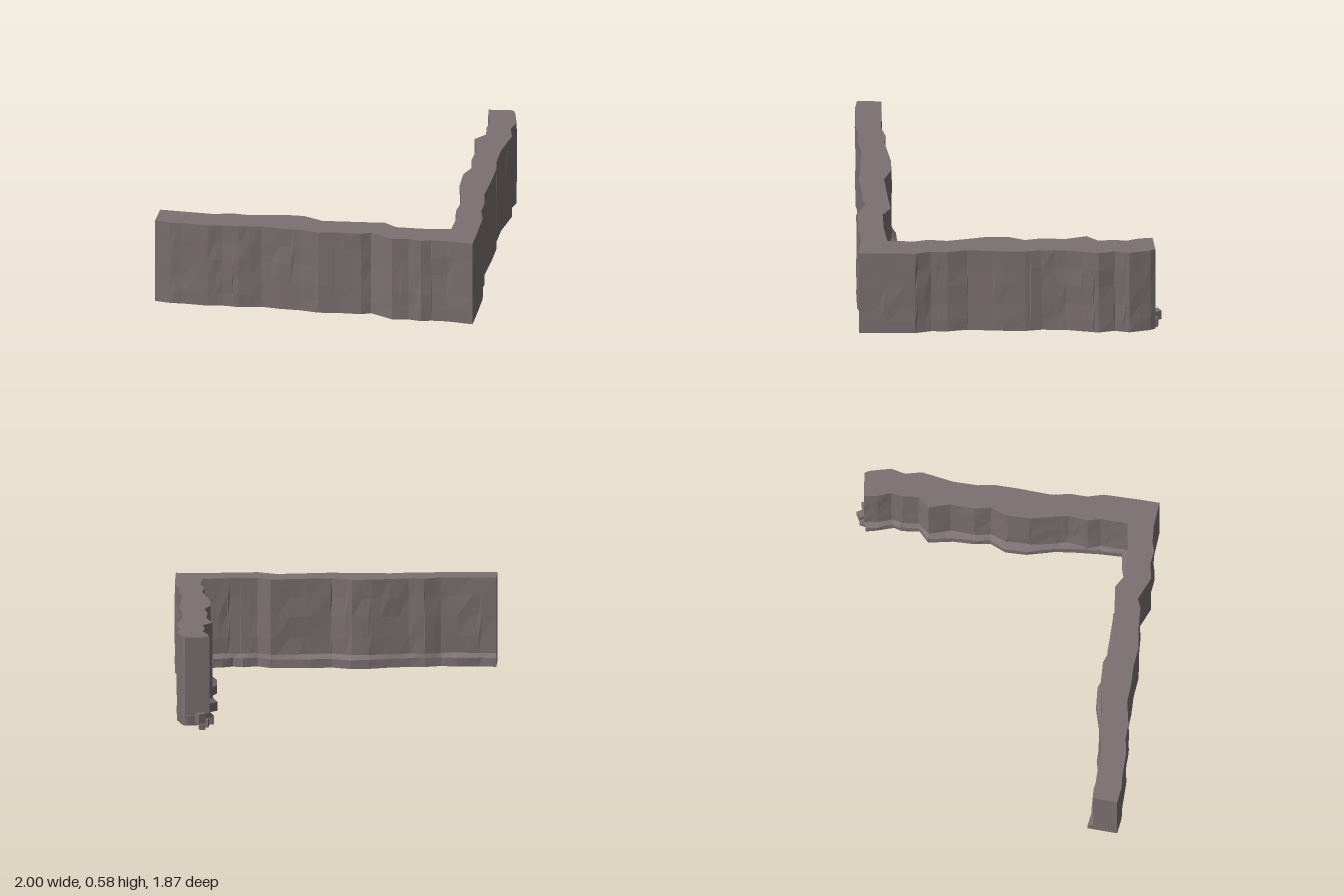
import * as THREE from 'three';

const BOTTOM = 0.025, TOP = 0.58;
const material = new THREE.MeshStandardMaterial({ color: 0x7d7172, flatShading: true });

// Plan outlines [x, z] of the front arm, from its free end to the corner
const frontArm = {
  axis: 0,
  outer: [[-1, .91], [-.9, .925], [-.83, .92], [-.67, .925], [-.58, .91], [-.48, .915], [-.34, .89], [-.22, .9], [-.1, .9],
    [.02, .915], [.14, .9], [.28, .895], [.34, .872], [.48, .935], [.58, .92], [.66, .932], [.72, .915], [.82, .91], [.98, .925]],
  inner: [[-.99, .76], [-.65, .768], [-.55, .742], [-.45, .748], [-.22, .712], [-.1, .71], [.02, .757], [.28, .735],
    [.4, .722], [.48, .772], [.66, .767], [.82, .747]],
  foot: [[-.99, .725], [-.88, .74], [-.75, .735], [-.65, .753], [-.55, .727], [-.46, .73], [-.34, .715], [-.21, .68],
    [-.09, .675], [.02, .72], [.15, .705], [.4, .71], [.48, .76], [.57, .735], [.63, .757], [.7, .73], [.8, .715]],
};
// The side arm, from the corner to its broken end
const sideArm = {
  axis: 1,
  outer: [[.98, .925], [.985, .8], [.99, .58], [.965, .48], [.97, .38], [.95, .26], [.965, .05], [.97, -.1], [.955, -.2],
    [.96, -.35], [.997, -.55], [.975, -.65], [.997, -.74], [.967, -.87], [.95, -.9]],
  inner: [[.82, .747], [.83, .58], [.81, .5], [.825, .38], [.81, .3], [.78, .15], [.78, 0], [.82, -.1], [.8, -.2],
    [.81, -.35], [.775, -.48], [.835, -.55], [.825, -.65], [.838, -.72], [.81, -.8], [.8, -.885]],
  foot: [[.8, .715], [.8, .58], [.79, .4], [.78, .3], [.74, .13], [.74, 0], [.785, -.1], [.77, -.2], [.77, -.33],
    [.745, -.48], [.81, -.54], [.8, -.65], [.815, -.7], [.785, -.8], [.77, -.87]],
};

// Small repeatable offset in the range -1 to 1
function wobble(a, b) {
  const s = Math.sin(a * 12.9898 + b * 78.233) * 43758.5453;
  return (s - Math.floor(s)) * 2 - 1;
}

// Fraction of the way along an outline at one of its points
function fraction(line, axis, p) {
  const start = line[0][axis], end = line[line.length - 1][axis];
  return (p[axis] - start) / (end - start);
}

function pointAt(line, axis, t) {
  let i = 1;
  while (i < line.length - 1 && fraction(line, axis, line[i]) < t) i++;
  const t0 = fraction(line, axis, line[i - 1]), t1 = fraction(line, axis, line[i]);
  const k = (t - t0) / (t1 - t0);
  return [0, 1].map((c) => line[i - 1][c] + (line[i][c] - line[i - 1][c]) * k);
}

// Cross-section: up the outer face, over the top, down the inner face and round the foot
const section = [
  ['outer', BOTTOM], ['outer', .11], ['outer', .21], ['outer', .34], ['outer', .46], ['outer', TOP],
  ['inner', TOP], ['inner', .46], ['inner', .34], ['inner', .21], ['inner', .105],
  ['foot', .08], ['foot', BOTTOM],
];

function armRings(arm) {
  const { axis } = arm;
  const knots = ['outer', 'inner', 'foot'].flatMap((n) => arm[n].map((p) => fraction(arm[n], axis, p))).sort((a, b) => a - b);
  const stations = knots.filter((t, i) => i === 0 || t - knots[i - 1] > 1e-3);
  return stations.map((t, i) => section.map(([name, y], j) => {
    const p = pointAt(arm[name], axis, t);
    const inside = y > BOTTOM && y < TOP && t > 0 && t < 1;
    // Push the middle rows in or out for a rough hewn face
    if (inside) p[1 - axis] += 0.004 * wobble(i >> 1, j + axis * 20);
    return [p[0], y, p[1]];
  }));
}

function wallGeometry() {
  const rings = [...armRings(frontArm), ...armRings(sideArm).slice(1)];
  const n = section.length, last = (rings.length - 1) * n;
  const index = [];
  for (let i = 0; i < rings.length - 1; i++) {
    for (let j = 0; j < n; j++) {
      const k = (j + 1) % n;
      const a = i * n + j, b = a + n, c = (i + 1) * n + k, d = i * n + k;
      index.push(a, b, c, a, c, d);
    }
  }
  // Close both free ends
  const cap = (ring, u) => THREE.ShapeUtils.triangulateShape(ring.map((p) => new THREE.Vector2(p[u], p[1])), []);
  for (const [a, b, c] of cap(rings[0], 2)) index.push(a, b, c);
  for (const [a, b, c] of cap(rings[rings.length - 1], 0)) index.push(last + a, last + c, last + b);

  const geometry = new THREE.BufferGeometry();
  geometry.setAttribute('position', new THREE.Float32BufferAttribute(rings.flat(2), 3));
  geometry.setIndex(index);
  const flat = geometry.toNonIndexed();
  flat.computeVertexNormals();
  return flat;
}

export function createModel() {
  const model = new THREE.Group();
  model.name = 'cornerWall';

  const wall = new THREE.Mesh(wallGeometry(), material);
  wall.name = 'wall';
  model.add(wall);

  // Broken chips at the foot of the side arm's end: centre, size, turn
  const rubble = new THREE.Group();
  rubble.name = 'rubble';
  const chips = [
    [[.855, .075, -.905], [.045, .06, .05], .5],
    [[.83, .04, -.89], [.05, .05, .04], -.2],
    [[.915, .06, -.895], [.05, .06, .03], .3],
    [[.845, .018, -.9], [.035, .034, .035], .2],
  ];
  chips.forEach(([centre, size, turn], i) => {
    const chip = new THREE.Mesh(new THREE.BoxGeometry(...size), material);
    chip.name = `chip${i + 1}`;
    chip.position.set(...centre);
    chip.rotation.y = turn;
    rubble.add(chip);
  });
  model.add(rubble);
  return model;
}
